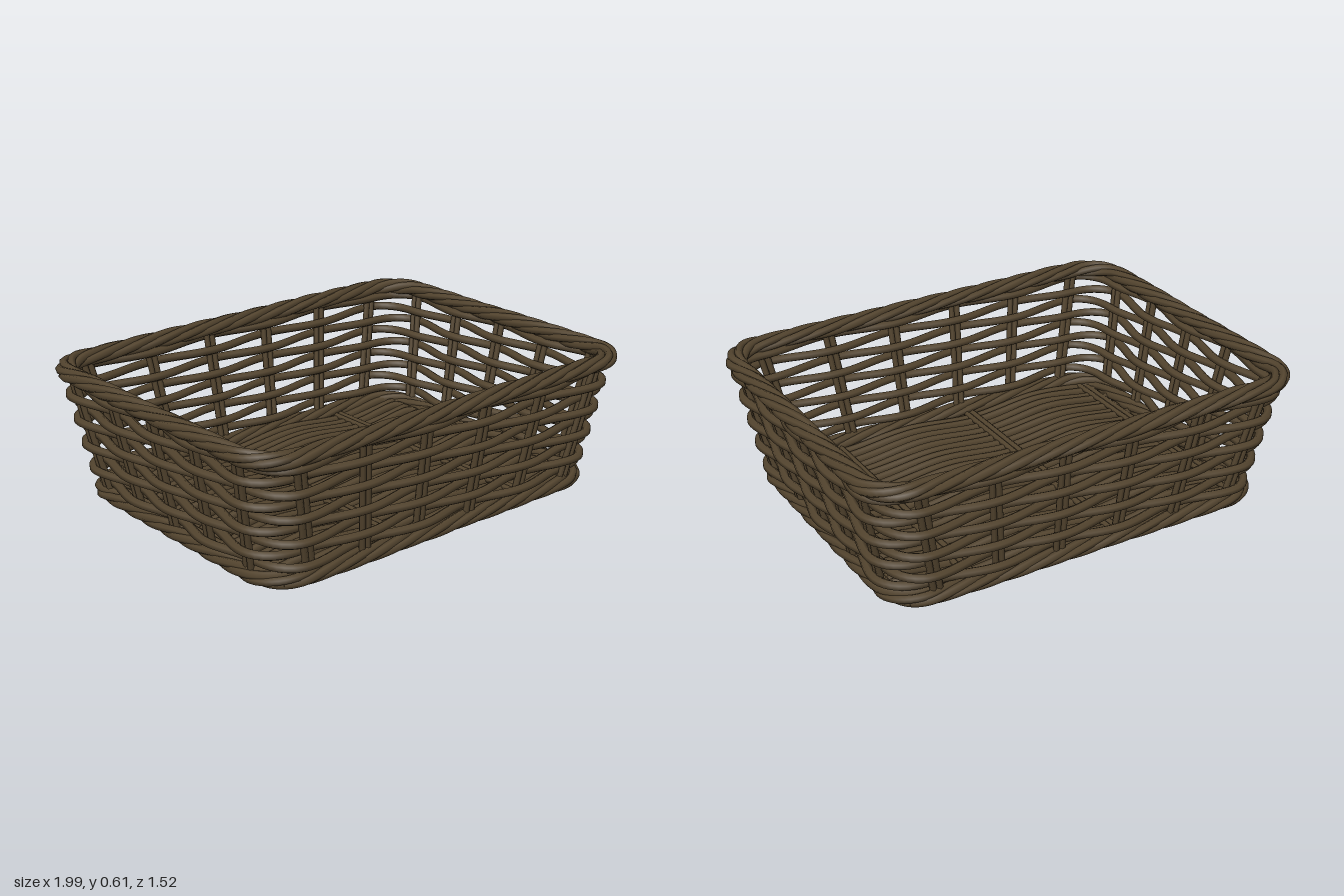
import * as THREE from 'three';

const STAKES = 22;      // stakes around the wall, also the loop parameter range
const CORNER = 0.16;

// Curve defined by a function of t in 0..1
class PathCurve extends THREE.Curve {
  constructor(fn) {
    super();
    this.fn = fn;
    this.arcLengthDivisions = 900;
  }
  getPoint(t, target = new THREE.Vector3()) {
    return target.copy(this.fn(t));
  }
}

// Point on the flared rounded-rectangle wall. k counts stakes, out moves
// along the outward normal and side along the wall.
function wallPoint(k, y, out = 0, side = 0) {
  const f = (y - 0.045) / 0.53;
  const a = 0.845 + 0.105 * f - CORNER;
  const b = 0.64 + 0.075 * f - CORNER;
  k = ((k % STAKES) + STAKES) % STAKES;
  const s = k >= 11 ? -1 : 1;
  const q = k % 11;
  let cx = a, cz = b, angle = 0;
  if (q < 5) cx = -a + 2 * a * q / 5;
  else if (q < 6) angle = (q - 5) * Math.PI / 2;
  else if (q < 10) { cz = b - b * (q - 6) / 2; angle = Math.PI / 2; }
  else { cz = -b; angle = (q - 9) * Math.PI / 2; }
  const nx = Math.sin(angle), nz = Math.cos(angle), d = CORNER + out;
  return new THREE.Vector3(s * (cx + nx * d + nz * side), y, s * (cz + nz * d - nx * side));
}

export function createModel() {
  const basket = new THREE.Group();
  basket.name = 'wickerBasket';
  const wicker = new THREE.MeshStandardMaterial({ color: 0x54452f });
  wicker.name = 'dark wicker';

  const group = (name) => {
    const g = new THREE.Group();
    g.name = name;
    basket.add(g);
    return g;
  };
  const cane = (parent, name, curve, segments, radius, closed = false) => {
    const mesh = new THREE.Mesh(new THREE.TubeGeometry(curve, segments, radius, 6, closed), wicker);
    mesh.name = name;
    parent.add(mesh);
  };

  // Twisted borders at the top and the foot
  const rope = (name, y, turns, wide, high) => {
    const g = group(name);
    for (let i = 0; i < 5; i++) {
      const curve = new PathCurve((t) => {
        const a = 2 * Math.PI * (t * turns + i / 5);
        const p = wallPoint(t * STAKES, y, wide * Math.cos(a));
        p.y += high * Math.sin(a);
        return p;
      });
      cane(g, 'borderStrand', curve, 260, 0.018, true);
    }
  };
  rope('topBorder', 0.573, 9, 0.028, 0.019);
  rope('footBorder', 0.045, 8, 0.024, 0.019);

  // Horizontal weavers passing in and out of the stakes, alternating by row
  const weavers = group('wallWeavers');
  for (let row = 0; row < 9; row++) {
    const y = 0.1 + row * 0.054;
    const curve = new PathCurve((t) =>
      wallPoint(t * STAKES, y, 0.023 * Math.cos(Math.PI * (t * STAKES + row))));
    cane(weavers, 'wallWeaver', curve, 220, 0.0195, true);
  }

  // Upright stakes in pairs
  const stakes = group('wallStakes');
  for (let k = 0; k < STAKES; k++) {
    for (const side of [-0.014, 0.014]) {
      const curve = new THREE.LineCurve3(wallPoint(k, 0.035, 0, side), wallPoint(k, 0.575, 0, side));
      cane(stakes, 'wallStake', curve, 1, 0.014);
    }
  }

  // Floor stakes in pairs, running front to back
  const floor = group('floor');
  const stakeX = [-0.775, -0.5, -0.17, 0.17, 0.5, 0.775];
  for (const x of stakeX) {
    for (const side of [-0.014, 0.014]) {
      const curve = new THREE.LineCurve3(
        new THREE.Vector3(x + side, 0.033, -0.635), new THREE.Vector3(x + side, 0.033, 0.635));
      cane(floor, 'floorStake', curve, 1, 0.013);
    }
  }

  // One long floor weaver going back and forth, with slightly uneven rows
  let seed = 7;
  const wobble = () => {
    seed = (seed * 16807) % 2147483647;
    return (seed / 2147483647 - 0.5) * 0.012;
  };
  const rows = 26, pitch = 0.0468, points = [];
  for (let row = 0; row < rows; row++) {
    const z = (row - (rows - 1) / 2) * pitch;
    const dir = row % 2 ? -1 : 1;
    stakeX.forEach((x, i) => {
      const lift = (i + row) % 2 ? 0.014 : -0.014;
      const inner = i > 0 && i < 5;
      points.push(new THREE.Vector3(x * dir, 0.033 + lift, z + (inner ? wobble() : 0)));
    });
    if (row < rows - 1) points.push(new THREE.Vector3(0.805 * dir, 0.033, z + pitch / 2));
  }
  const serpentine = new THREE.CatmullRomCurve3(points);
  serpentine.arcLengthDivisions = 4000;
  cane(floor, 'floorWeaver', serpentine, 2200, 0.018);

  return basket;
}
